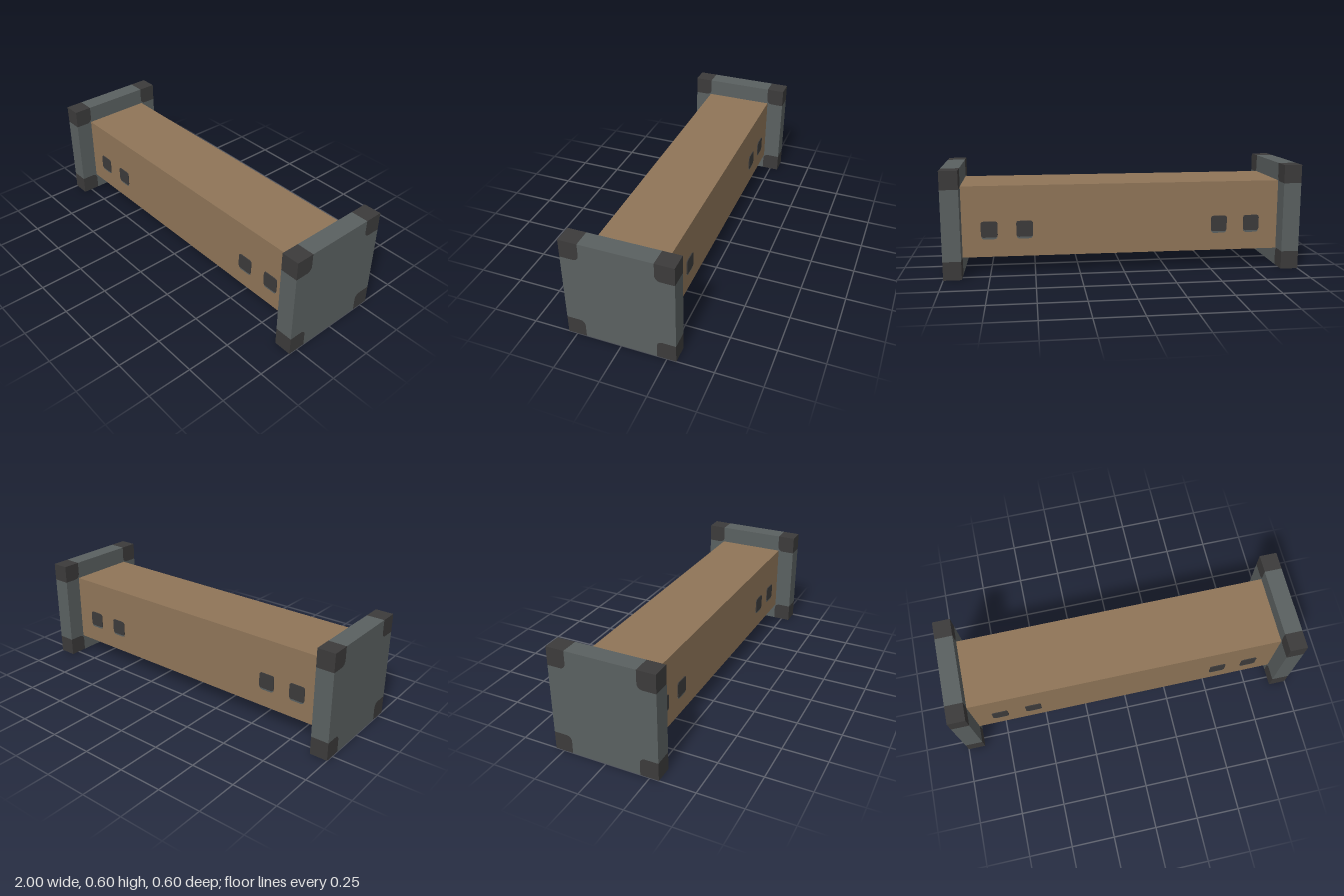
import * as THREE from 'three';

const HALF = 0.3, CORNER = 0.103, ROUND = 0.03, THICK = 0.1;

// Rectangle with rounded corners, centred on the origin
function roundedRect(w, h, r) {
  const s = new THREE.Shape(), x = w / 2, y = h / 2;
  s.moveTo(-x + r, -y);
  s.lineTo(x - r, -y).quadraticCurveTo(x, -y, x, -y + r);
  s.lineTo(x, y - r).quadraticCurveTo(x, y, x - r, y);
  s.lineTo(-x + r, y).quadraticCurveTo(-x, y, -x, y - r);
  s.lineTo(-x, -y + r).quadraticCurveTo(-x, -y, -x + r, -y);
  return s;
}

// Outline of one corner guard (+,+ quadrant), counter-clockwise from its lower inner bend
function cornerPoints() {
  const a = HALF - CORNER, arc = [];
  for (let i = 0; i <= 5; i++) {
    const t = Math.PI + (i / 5) * Math.PI / 2;
    arc.push(new THREE.Vector2(a + ROUND + ROUND * Math.cos(t), a + ROUND + ROUND * Math.sin(t)));
  }
  return [new THREE.Vector2(a, HALF), ...arc, new THREE.Vector2(HALF, a)];
}

// Extrude a shape through the end plate's thickness, turned to run along x
function slab(shape) {
  const g = new THREE.ExtrudeGeometry(shape, { depth: THICK, bevelEnabled: false });
  return g.translate(0, 0, -THICK / 2).rotateY(Math.PI / 2);
}

export function createModel() {
  const wood = new THREE.MeshStandardMaterial({ name: 'wood brown', color: 0x8f7558 });
  const slate = new THREE.MeshStandardMaterial({ name: 'slate grey', color: 0x5a6060 });
  const dark = new THREE.MeshStandardMaterial({ name: 'charcoal', color: 0x3c3b3b });
  const model = new THREE.Group();
  model.name = 'beam';

  const add = (parent, name, geometry, material, x = 0, y = 0, z = 0) => {
    const mesh = new THREE.Mesh(geometry, material);
    mesh.name = name;
    mesh.position.set(x, y, z);
    parent.add(mesh);
    return mesh;
  };

  // Long wooden body
  add(model, 'body', new THREE.BoxGeometry(1.8, 0.4, 0.4), wood, 0, 0.3, 0);

  // Plate outline: the square minus its four corner guards
  const corner = cornerPoints();
  const outline = [];
  for (let q = 0; q < 4; q++) {
    const pts = corner.map(p => p.clone().rotateAround(new THREE.Vector2(), q * Math.PI / 2));
    outline.push(...pts.reverse());
  }
  const plateGeometry = slab(new THREE.Shape(outline));
  const guardGeometry = slab(new THREE.Shape([...corner, new THREE.Vector2(HALF, HALF)]));

  // End plates with corner guards
  for (const side of [-1, 1]) {
    const end = new THREE.Group();
    end.name = side > 0 ? 'leftEnd' : 'rightEnd';
    end.position.set(side * 0.95, 0.3, 0);
    add(end, 'endPlate', plateGeometry, slate);
    for (let q = 0; q < 4; q++) {
      add(end, 'cornerGuard', guardGeometry, dark).rotation.x = q * Math.PI / 2;
    }
    model.add(end);
  }

  // Small dark ports with a slate lower lip, in pairs on front and back
  const lipGeometry = new THREE.ExtrudeGeometry(roundedRect(0.088, 0.095, 0.018), { depth: 0.003, bevelEnabled: false });
  const portGeometry = new THREE.ExtrudeGeometry(roundedRect(0.092, 0.09, 0.016), { depth: 0.005, bevelEnabled: false });
  for (const face of [0, Math.PI]) {
    const ports = new THREE.Group();
    ports.name = face ? 'backPorts' : 'frontPorts';
    ports.rotation.y = face;
    for (const x of [-0.75, -0.555, 0.555, 0.745]) {
      add(ports, 'portLip', lipGeometry, slate, x, 0.248, 0.2);
      add(ports, 'port', portGeometry, dark, x, 0.256, 0.2);
    }
    model.add(ports);
  }
  return model;
}
